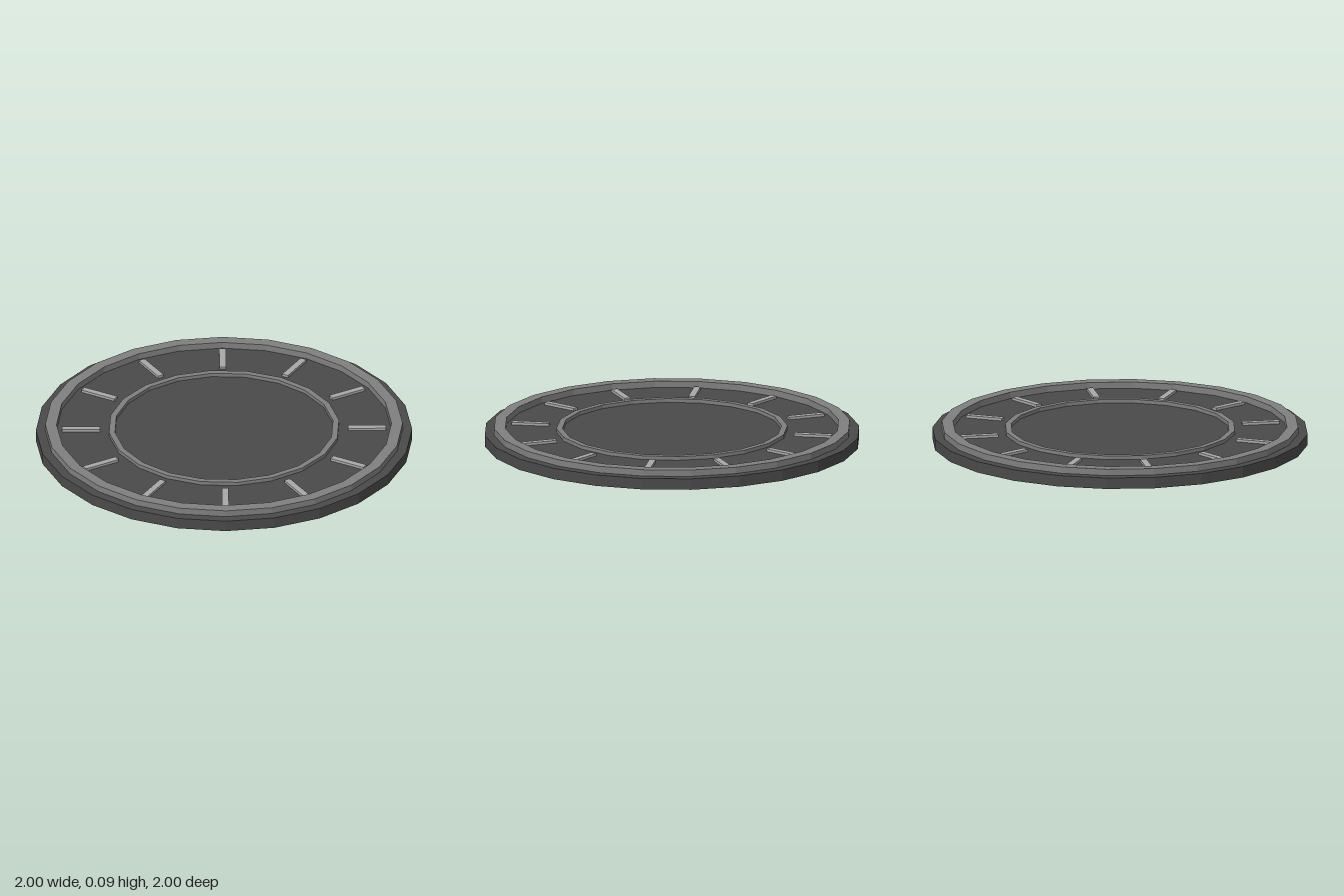
import * as THREE from 'three';

const BASE_TOP = 0.06;

// Flat polygonal ring resting on the base, one corner on each axis
function ring(name, outer, inner, sides, height, material) {
  const corners = (r) => Array.from({ length: sides }, (_, i) => {
    const a = (i / sides) * Math.PI * 2;
    return new THREE.Vector2(Math.cos(a) * r, Math.sin(a) * r);
  });
  const shape = new THREE.Shape(corners(outer));
  shape.holes.push(new THREE.Path(corners(inner)));
  const geometry = new THREE.ExtrudeGeometry(shape, { depth: height, bevelEnabled: false });
  geometry.rotateX(-Math.PI / 2);
  const mesh = new THREE.Mesh(geometry, material);
  mesh.name = name;
  mesh.position.y = BASE_TOP;
  return mesh;
}

export function createModel() {
  const darkGrey = new THREE.MeshStandardMaterial({ color: 0x4a4a4a, flatShading: true });
  darkGrey.name = 'dark grey';
  const midGrey = new THREE.MeshStandardMaterial({ color: 0x808080, flatShading: true });
  midGrey.name = 'mid grey';
  const lightGrey = new THREE.MeshStandardMaterial({ color: 0xa8a8a8, flatShading: true });
  lightGrey.name = 'light grey';

  const model = new THREE.Group();
  model.name = 'roundPlatform';

  // Base disc
  const base = new THREE.Mesh(new THREE.CylinderGeometry(1, 1, BASE_TOP, 24), darkGrey);
  base.name = 'baseDisc';
  base.position.y = BASE_TOP / 2;
  model.add(base);

  // Raised rings
  model.add(ring('outerRing', 0.95, 0.89, 24, 0.035, midGrey));
  model.add(ring('innerRing', 0.615, 0.583, 20, 0.02, midGrey));

  // Twelve radial marks between the rings
  const marks = new THREE.Group();
  marks.name = 'radialMarks';
  const markGeometry = new THREE.BoxGeometry(0.2, 0.014, 0.035);
  markGeometry.translate(0.76, BASE_TOP + 0.007, 0);
  for (let i = 0; i < 12; i++) {
    const mark = new THREE.Mesh(markGeometry, lightGrey);
    mark.name = `radialMark${i + 1}`;
    mark.rotation.y = (i / 12) * Math.PI * 2;
    marks.add(mark);
  }
  model.add(marks);

  return model;
}
